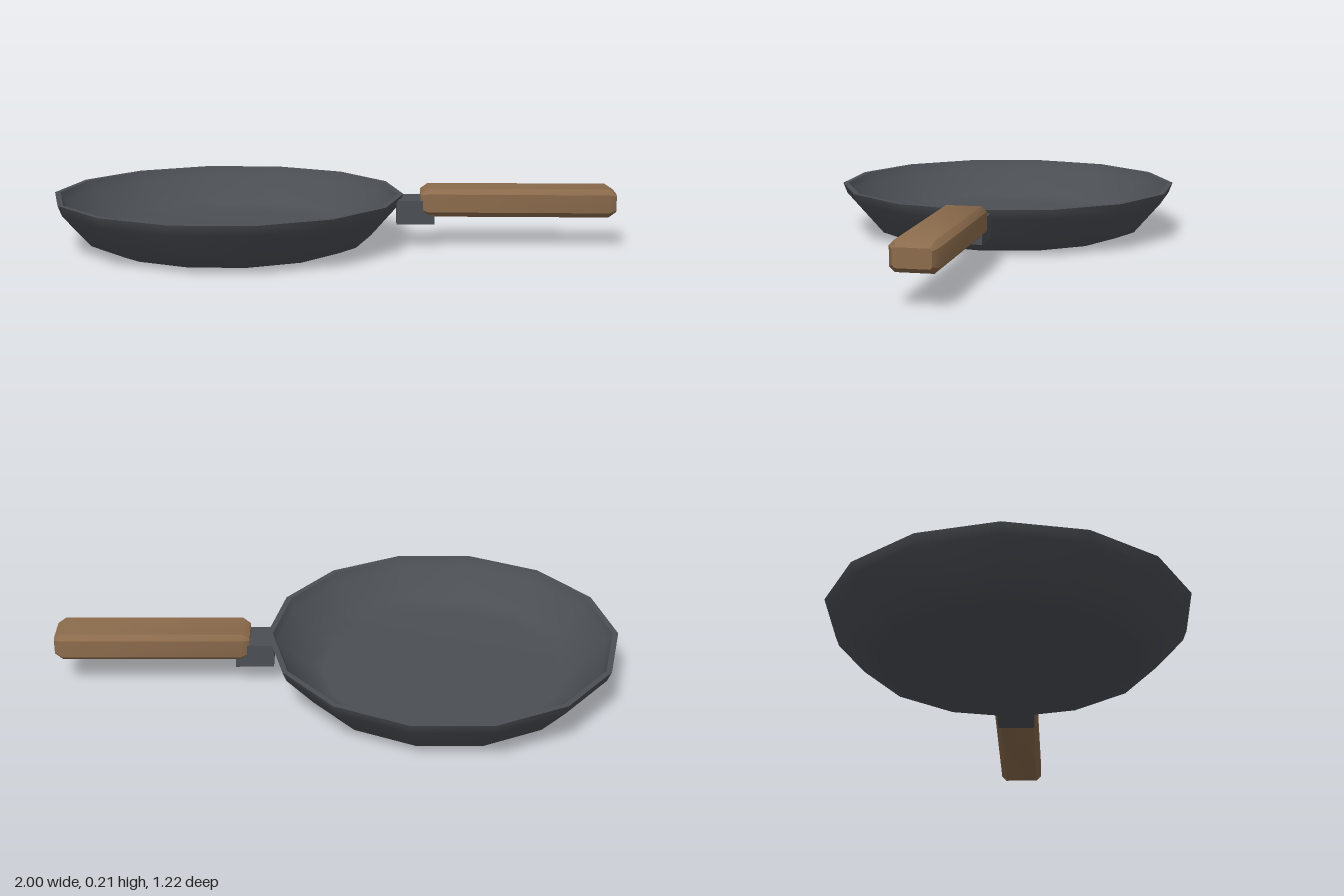
import * as THREE from 'three';
import { toCreasedNormals } from 'three/addons/utils/BufferGeometryUtils.js';

const SIDES = 14;

export function createModel() {
  const iron = new THREE.MeshStandardMaterial({ name: 'cast iron', color: 0x4b4f54 });
  const wood = new THREE.MeshStandardMaterial({ name: 'wood', color: 0x8b6b4c });
  const model = new THREE.Group();
  model.name = 'fryingPan';

  const add = (parent, name, geometry, material) => {
    const mesh = new THREE.Mesh(geometry, material);
    mesh.name = name;
    parent.add(mesh);
    return mesh;
  };

  // Pan bowl: smooth outer and inner skins joined by a sharp rim
  const bowl = new THREE.Group();
  bowl.name = 'panBowl';
  bowl.position.x = -0.375;
  model.add(bowl);
  const skins = {
    outerWall: [[0, 0], [0.44, 0], [0.51, 0.027], [0.61, 0.14], [0.625, 0.178]],
    rim: [[0.625, 0.178], [0.605, 0.178]],
    innerWall: [[0.605, 0.178], [0.588, 0.145], [0.495, 0.05], [0.43, 0.03], [0, 0.03]],
  };
  for (const [name, profile] of Object.entries(skins)) {
    const points = profile.map(([r, y]) => new THREE.Vector2(r, y));
    add(bowl, name, new THREE.LatheGeometry(points, SIDES, Math.PI / 2), iron);
  }

  // Bracket between bowl and handle
  add(model, 'bracket', new THREE.BoxGeometry(0.135, 0.085, 0.136), iron)
    .position.set(0.2925, 0.1225, 0);

  // Handle: bar with chamfered long edges and chamfered ends
  const w = 0.08, h = 0.05, cut = 0.018, end = 0.028, length = 0.69;
  const section = new THREE.Shape([
    [w - cut, -h], [w, cut - h], [w, h - cut], [w - cut, h],
    [cut - w, h], [-w, h - cut], [-w, cut - h], [cut - w, -h],
  ].map(([x, y]) => new THREE.Vector2(x, y)));
  const bar = new THREE.ExtrudeGeometry(section, {
    depth: length - 2 * end, bevelThickness: end,
    bevelSize: 0.018, bevelOffset: -0.018, bevelSegments: 1,
  });
  bar.translate(0, 0, end).rotateY(Math.PI / 2);
  add(model, 'handle', toCreasedNormals(bar, 0.6), wood).position.set(0.31, 0.158, 0);

  return model;
}
